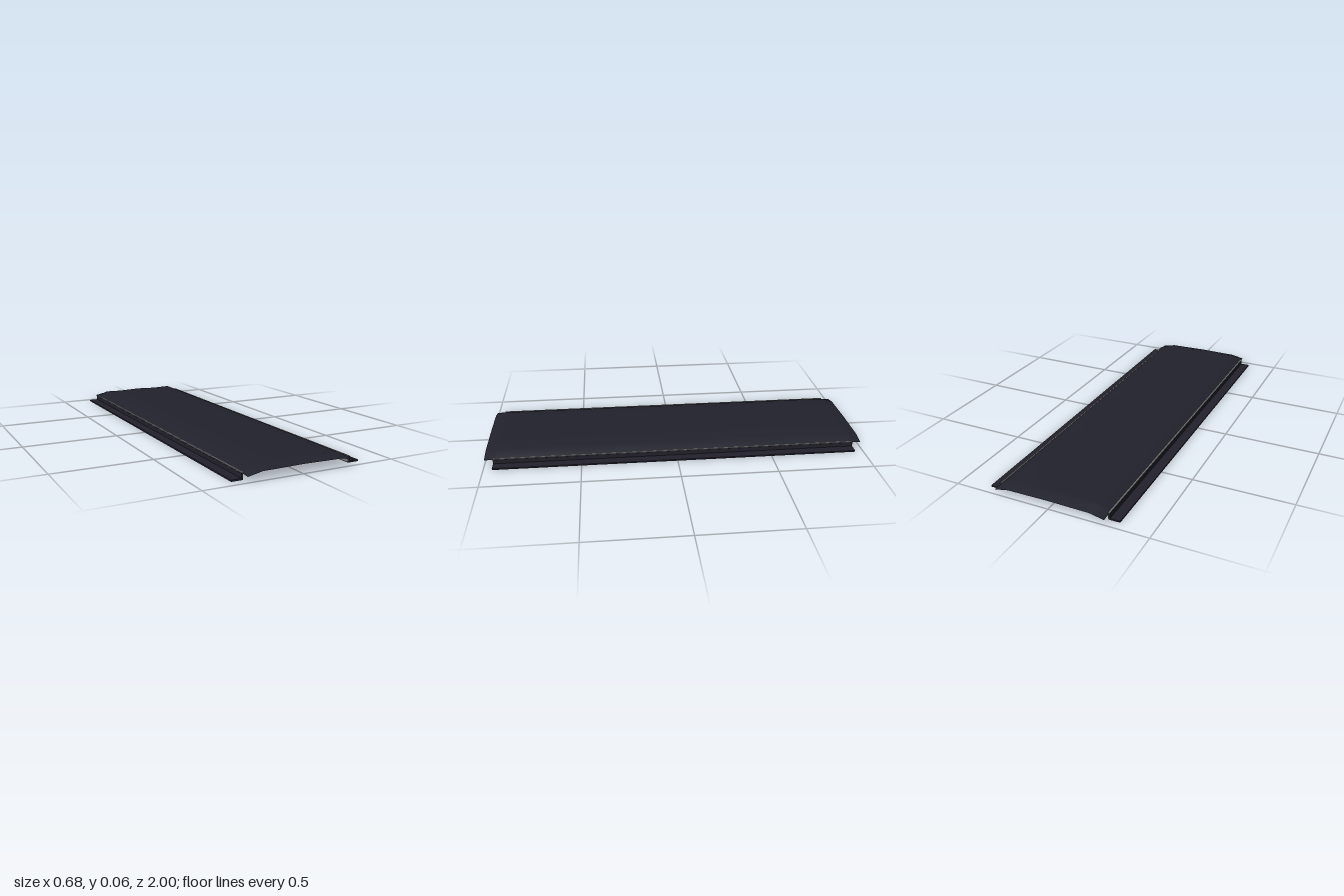
import * as THREE from 'three';

export function createModel() {
  const model = new THREE.Group();
  const dark = new THREE.MeshStandardMaterial({ name: 'dark panel', color: 0x22222d, side: THREE.DoubleSide });
  const railDark = new THREE.MeshStandardMaterial({ name: 'dark rail', color: 0x23212b });
  const grey = new THREE.MeshStandardMaterial({ name: 'grey strip', color: 0x757575 });

  // Half profiles from centre to edge: [x, y] along the body and at the drooping ends
  const body = [[0, 0.06], [0.12, 0.0555], [0.225, 0.058], [0.284, 0.03]];
  const end = [[0, 0.045], [0.12, 0.043], [0.21, 0.042], [0.284, 0.027]];
  const mirror = (p) => [...p.slice(1).reverse().map(([x, y]) => [-x, y]), ...p];
  const bodyRow = mirror(body), endRow = mirror(end);

  // Rows along the length, with a faint ripple between them
  const zs = [-1, -0.95];
  for (let i = -8; i <= 8; i++) zs.push(i * 0.1175 * 0.99);
  zs.push(0.95, 1);

  const sheet = new THREE.PlaneGeometry(1, 1, bodyRow.length - 1, zs.length - 1);
  const pos = sheet.attributes.position;
  zs.forEach((z, r) => {
    const atEnd = Math.abs(z) === 1;
    const dip = atEnd ? 0 : 0.002 * (1 - Math.abs(Math.sin(Math.PI * z / 0.47)));
    (atEnd ? endRow : bodyRow).forEach(([x, y], c) => {
      const edge = Math.abs(x) > 0.28;
      pos.setXYZ(r * bodyRow.length + c, x, y - (edge ? 0 : dip), z);
    });
  });
  sheet.computeVertexNormals();
  const panel = new THREE.Mesh(sheet, dark);
  panel.name = 'curvedPanel';
  model.add(panel);

  // Box given by its x and y limits, mirrored by side
  const bar = (name, side, x0, x1, y0, y1, material, length = 1.91) => {
    const mesh = new THREE.Mesh(new THREE.BoxGeometry(x1 - x0, y1 - y0, length), material);
    mesh.position.set(side * (x0 + x1) / 2, (y0 + y1) / 2, 0);
    mesh.name = name;
    return mesh;
  };

  // L-shaped mounting rails with a grey strip on the inside
  for (const side of [1, -1]) {
    const rail = new THREE.Group();
    rail.name = side > 0 ? 'leftRail' : 'rightRail';
    rail.add(
      bar('foot', side, 0.281, 0.339, 0, 0.008, railDark),
      bar('outerWall', side, 0.283, 0.289, 0.008, 0.031, railDark),
      bar('innerStrip', side, 0.28, 0.2875, 0.003, 0.034, grey, 1.908),
    );
    model.add(rail);
  }
  return model;
}
